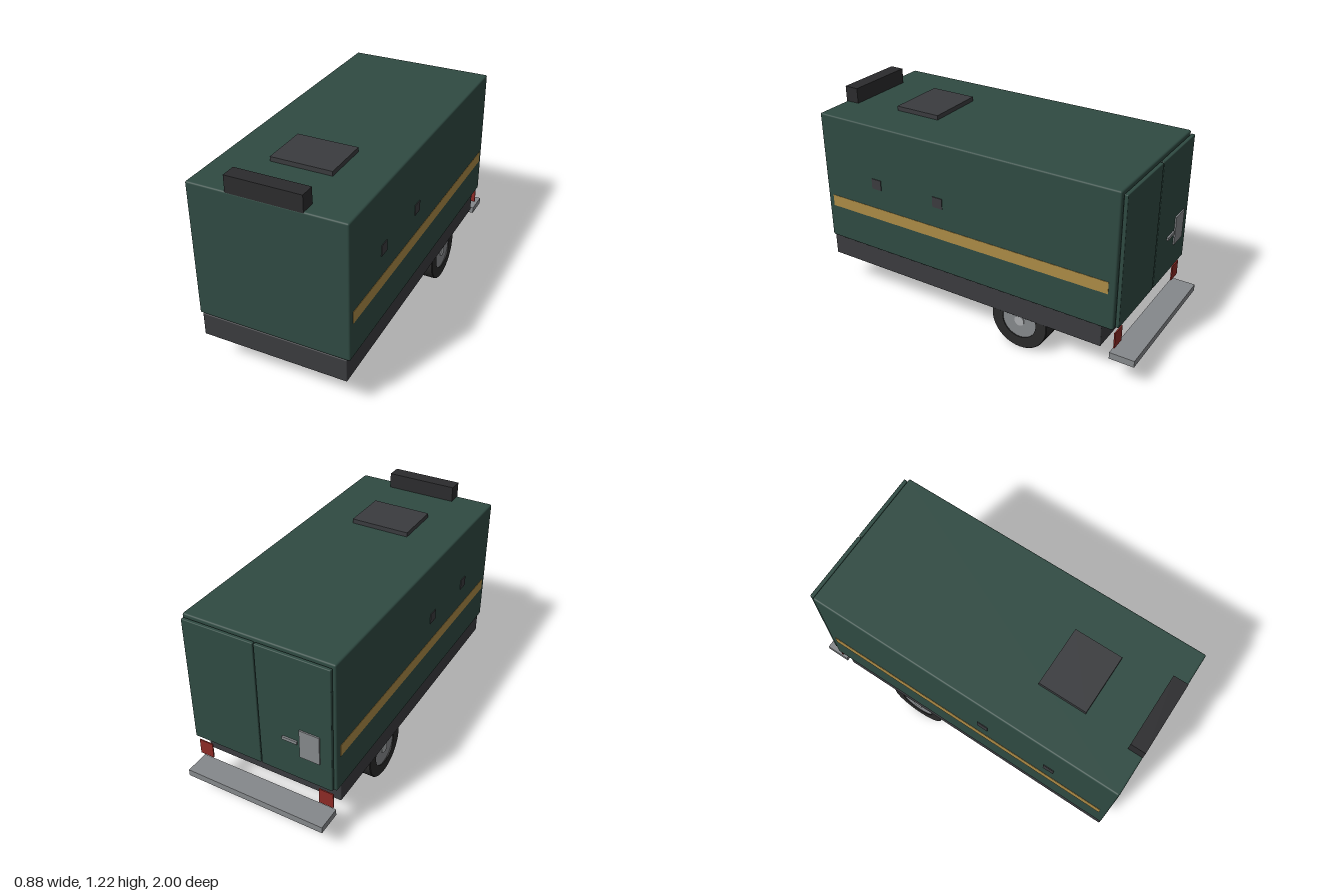
import * as THREE from 'three';
import { RoundedBoxGeometry } from 'three/addons/geometries/RoundedBoxGeometry.js';

const mat = (color, side = THREE.FrontSide) => new THREE.MeshStandardMaterial({ color, side });
const green = mat(0x2f4a42), dark = mat(0x3a3b3e), black = mat(0x2b2b2d), rubber = mat(0x2a2a2a, THREE.DoubleSide);
const steel = mat(0x85888b), pale = mat(0xa9acae), gold = mat(0xab8a45), red = mat(0x8c2a25);

// Box given by its limits on each axis; a radius rounds its edges
function box(parent, name, material, [x0, x1], [y0, y1], [z0, z1], radius = 0) {
  const size = [x1 - x0, y1 - y0, z1 - z0];
  const geometry = radius ? new RoundedBoxGeometry(...size, 3, radius) : new THREE.BoxGeometry(...size);
  const mesh = new THREE.Mesh(geometry, material);
  mesh.name = name;
  mesh.position.set((x0 + x1) / 2, (y0 + y1) / 2, (z0 + z1) / 2);
  parent.add(mesh);
  return mesh;
}

// Tyre with a slightly recessed rim and a hub cap, axis along x
function wheel(width) {
  const group = new THREE.Group();
  const r = 0.173, hole = 0.105, h = width / 2, b = 0.004;
  const profile = [[hole, -h], [r - b, -h], [r - b, -h], [r, -h + b], [r, -h + b], [r, h - b], [r, h - b],
    [r - b, h], [r - b, h], [hole, h], [hole, h], [hole, -h]];
  const tyre = new THREE.Mesh(new THREE.LatheGeometry(profile.map(p => new THREE.Vector2(...p)), 48), rubber);
  tyre.name = 'tyre';
  const rim = new THREE.Mesh(new THREE.CylinderGeometry(hole, hole, width - 0.012, 48), steel);
  rim.name = 'rim';
  const cap = new THREE.Mesh(new THREE.CylinderGeometry(0.03, 0.03, width - 0.002, 24), pale);
  cap.name = 'hubCap';
  group.add(tyre, rim, cap);
  group.rotation.z = -Math.PI / 2;
  return group;
}

export function createModel() {
  const model = new THREE.Group();
  model.name = 'boxTrailer';

  // Chassis and cargo body
  box(model, 'chassis', dark, [-0.42, 0.42], [0.2, 0.338], [-0.805, 1], 0.006);
  box(model, 'cargoBody', green, [-0.437, 0.437], [0.337, 1.125], [-0.875, 1], 0.01);

  // Roof equipment
  box(model, 'roofUnit', black, [-0.21, 0.21], [1.12, 1.215], [0.915, 1]);
  box(model, 'roofHatch', dark, [-0.175, 0.175], [1.12, 1.151], [0.37, 0.65]);

  // Rear step
  box(model, 'rearStep', steel, [-0.42, 0.42], [0.145, 0.184], [-1, -0.857]);

  for (const s of [1, -1]) {
    const side = s > 0 ? 'left' : 'right';
    const span = (a, b) => (s > 0 ? [a, b] : [-b, -a]);

    // Side stripe and vents
    box(model, side + 'Stripe', gold, span(0.43, 0.439), [0.547, 0.617], [-0.838, 0.963]);
    for (const z of [0.62, 0.198])
      box(model, side + 'Vent', dark, span(0.43, 0.441), [0.74, 0.802], [z - 0.032, z + 0.032]);

    // Rear door leaf and tail light
    box(model, side + 'Door', green, span(0.003, 0.425), [0.355, 1.11], [-0.903, -0.881], 0.005);
    box(model, side + 'TailLight', red, span(0.335, 0.42), [0.22, 0.314], [-0.885, -0.878]);

    // Twin wheels
    for (const [x, width] of [[0.367, 0.1], [0.264, 0.098]]) {
      const w = wheel(width);
      w.name = side + 'Wheel';
      w.position.set(s * x, 0.173, -0.31);
      model.add(w);
    }
  }

  // Door lock plate and handle
  box(model, 'lockPlate', steel, [-0.36, -0.245], [0.512, 0.685], [-0.911, -0.9]);
  box(model, 'doorHandle', steel, [-0.231, -0.143], [0.588, 0.606], [-0.913, -0.9]);

  return model;
}
